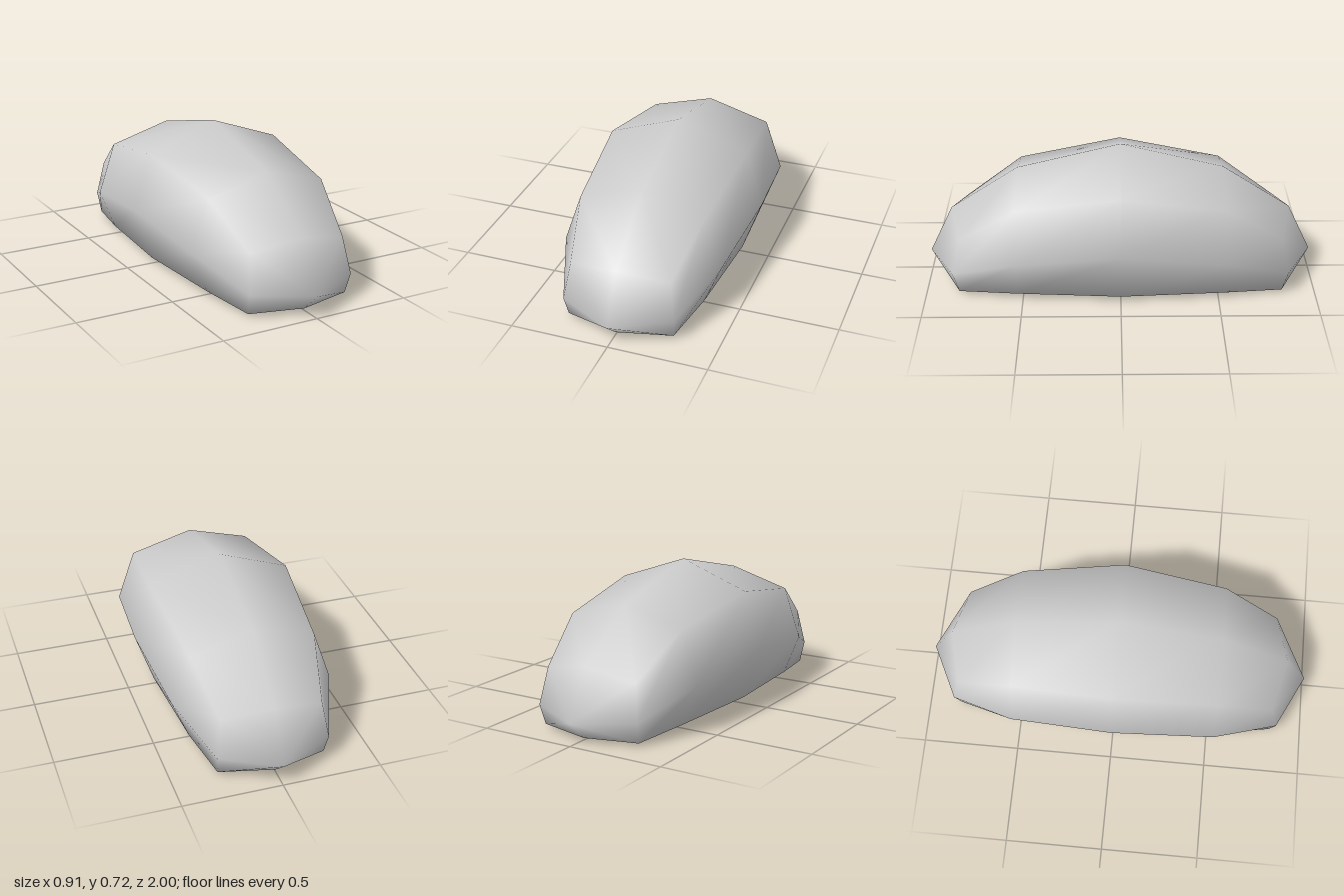
import * as THREE from 'three';

// Half cross-sections from the middle to the end: top, shoulder, side, lower corner, bottom
const SECTIONS = [
  [[0, 0.72, 0], [0.365, 0.59, 0], [0.455, 0.305, 0], [0.36, 0.03, 0], [0, 0, 0]],
  [[0, 0.59, 0.53], [0.32, 0.5, 0.53], [0.41, 0.24, 0.53], [0.325, 0.03, 0.53], [0, 0.003, 0.54]],
  [[0, 0.36, 0.88], [0.255, 0.305, 0.82], [0.283, 0.12, 0.86], [0.272, 0.015, 0.83], [0, 0.01, 0.89]],
];
const TIP = [0, 0.11, 1];

// Full eight-sided ring, mirrored across x, on the front (1) or back (-1) half
function ring(section, end) {
  const right = section.slice(1, 4).reverse().map(([x, y, z]) => [-x, y, z]);
  return [...section, ...right].map(([x, y, z]) => [x, y, z * end]);
}

function shellGeometry() {
  const [mid, inner, outer] = SECTIONS;
  const rings = [ring(outer, 1), ring(inner, 1), ring(mid, 1), ring(inner, -1), ring(outer, -1)];
  const n = 8, last = rings.length - 1;
  const points = [...rings.flat(), TIP, [0, TIP[1], -TIP[2]]];
  const front = rings.length * n, back = front + 1;
  const index = [];
  for (let j = 0; j < n; j++) {
    const k = (j + 1) % n;
    // Side walls
    for (let i = 0; i < last; i++) {
      const a = i * n + j, b = i * n + k, c = a + n, d = b + n;
      index.push(a, b, c, b, d, c);
    }
    // Rounded ends
    index.push(front, k, j, back, last * n + j, last * n + k);
  }
  const geometry = new THREE.BufferGeometry();
  geometry.setAttribute('position', new THREE.Float32BufferAttribute(points.flat(), 3));
  geometry.setIndex(index);
  geometry.computeVertexNormals();
  return geometry;
}

export function createModel() {
  const grey = new THREE.MeshStandardMaterial({ color: 0xcccccc });
  grey.name = 'light grey';
  const shell = new THREE.Mesh(shellGeometry(), grey);
  shell.name = 'roundedShell';
  const group = new THREE.Group();
  group.name = 'smoothLoaf';
  group.add(shell);
  return group;
}
